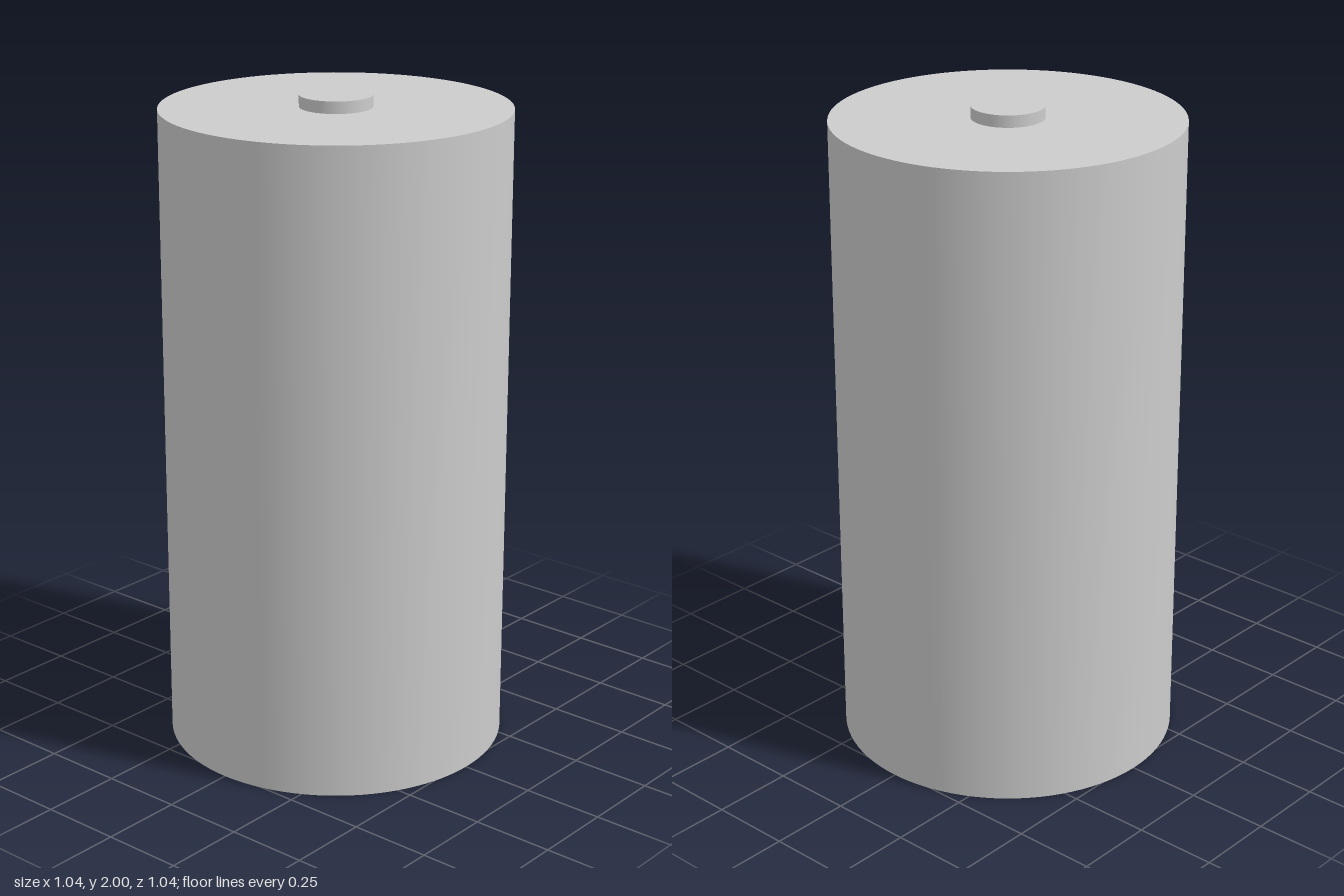
import * as THREE from 'three';

const BODY_HEIGHT = 1.964;
const TOTAL_HEIGHT = 2;

export function createModel() {
  const model = new THREE.Group();
  model.name = 'battery';
  const material = new THREE.MeshStandardMaterial({ color: 0xcccccc });

  // Upright smooth cylinder spanning bottom..top
  function addCylinder(name, radius, bottom, top) {
    const geometry = new THREE.CylinderGeometry(radius, radius, top - bottom, 96);
    const mesh = new THREE.Mesh(geometry, material);
    mesh.name = name;
    mesh.position.y = (bottom + top) / 2;
    model.add(mesh);
  }

  // Main cell with flat ends
  addCylinder('body', 0.518, 0, BODY_HEIGHT);

  // Raised contact in the middle of the top
  addCylinder('topTerminal', 0.108, BODY_HEIGHT, TOTAL_HEIGHT);

  return model;
}
